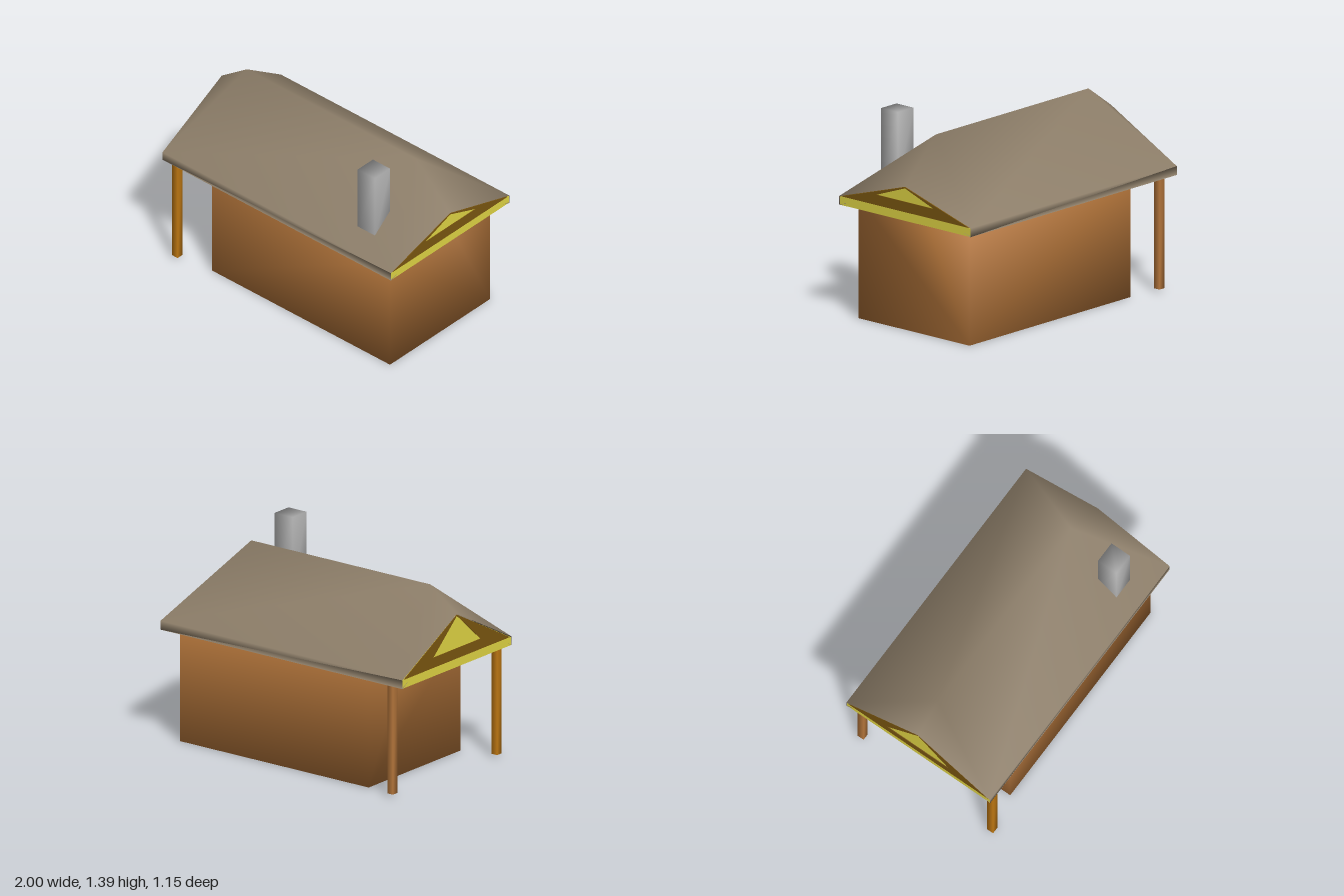
import * as THREE from 'three';
import { mergeVertices } from 'three/addons/utils/BufferGeometryUtils.js';

function mat(name, color, double = false) {
  const m = new THREE.MeshStandardMaterial({ color });
  m.name = name;
  if (double) m.side = THREE.DoubleSide;
  return m;
}

// Weld the corners so the shading runs softly across them
function smooth(geo) {
  geo.deleteAttribute('uv');
  geo.deleteAttribute('normal');
  const g = mergeVertices(geo, 1e-4);
  g.computeVertexNormals();
  return g;
}

// Box from its minimum and maximum corners
function box(x0, x1, y0, y1, z0, z1) {
  return new THREE.BoxGeometry(x1 - x0, y1 - y0, z1 - z0)
    .translate((x0 + x1) / 2, (y0 + y1) / 2, (z0 + z1) / 2);
}

// Outline in (z, y) extruded along x from x0 to x1
function extrudeX(points, x0, x1, hole) {
  const toV = (p) => new THREE.Vector2(p[0], p[1]);
  const shape = new THREE.Shape(points.map(toV));
  if (hole) shape.holes.push(new THREE.Path(hole.map(toV)));
  return new THREE.ExtrudeGeometry(shape, { depth: x1 - x0, bevelEnabled: false })
    .rotateY(-Math.PI / 2).translate(x1, 0, 0);
}

// Roof shell: two slopes, clipped ridge ends, eave fascias and underside
function roofGeometry() {
  const pos = [];
  const T = 0.06;
  for (const s of [1, -1]) {
    const face = (pts, flip = false) => {
      const list = flip !== (s < 0) ? [...pts].reverse() : pts;
      for (let i = 1; i < list.length - 1; i++) {
        for (const p of [list[0], list[i], list[i + 1]]) pos.push(p[0], p[1], p[2] * s);
      }
    };
    const cl = [-1, 0.83, 0.577], cr = [1, 0.83, 0.577];
    const rl = [-0.78, 1.293, 0], rr = [0.70, 1.293, 0];
    const pl = [-1, 1.135, 0], pr = [1, 1.003, 0];
    const low = (p, k = 0.965) => [p[0] * k, p[1] - T, p[2]];
    face([cl, cr, rr, rl]);
    face([cr, pr, rr]);
    face([cl, rl, pl]);
    face([low(cl, 1), low(cr, 1), cr, cl]);
    face([low(cl, 1), low(cr, 1), low(rr), low(rl)], true);
    face([low(cr, 1), low(pr), low(rr)], true);
    face([low(cl, 1), low(rl), low(pl)], true);
  }
  const g = new THREE.BufferGeometry();
  g.setAttribute('position', new THREE.Float32BufferAttribute(pos, 3));
  return smooth(g);
}

export function createModel() {
  const brown = mat('brown wood', 0xb5763b);
  const amber = mat('amber wood', 0xbf7812);
  const ochre = mat('dark ochre', 0x7a5610);
  const yellow = mat('yellow trim', 0xe0d444);
  const taupe = mat('taupe roofing', 0x8c7d68, true);
  const grey = mat('grey stone', 0xb8b8b8);

  const group = new THREE.Group();
  const add = (name, geo, material) => {
    const m = new THREE.Mesh(geo, material);
    m.name = name;
    group.add(m);
  };

  // House body with a low gable hidden under the roof
  const body = [[-0.487, 0], [0.487, 0], [0.487, 0.82], [0, 1.0], [-0.487, 0.82]];
  add('walls', smooth(extrudeX(body, -0.65, 0.91)), brown);

  add('roof', roofGeometry(), taupe);

  // Gable boards closing both roof ends, each with a dark frame
  for (const [side, peak] of [['left', 1.003], ['right', 1.135]]) {
    const s = side === 'left' ? 1 : -1;
    const span = (a, b) => (s > 0 ? [a, b] : [-b, -a]);
    const top = peak - 0.005;
    add(side + 'GableBoard', extrudeX(
      [[-0.575, 0.77], [0.575, 0.77], [0.575, 0.825], [0, top], [-0.575, 0.825]],
      ...span(0.974, 0.996)), yellow);
    add(side + 'GableFrame', extrudeX(
      [[-0.56, 0.83], [0.56, 0.83], [0, top]],
      ...span(0.97, 1.0),
      [[-0.25, 0.9], [0, peak - 0.012], [0.25, 0.9]]), ochre);
  }

  // Soffit under the closed end of the roof
  add('soffit', box(0.77, 0.974, 0.772, 0.78, -0.57, 0.57), ochre);

  // Porch posts
  add('frontPost', smooth(box(-0.935, -0.888, 0.02, 0.83, 0.508, 0.555)), amber);
  add('backPost', smooth(box(-0.903, -0.857, 0.02, 0.83, -0.555, -0.508)), brown);

  add('chimney', smooth(box(0.59, 0.74, 0.9, 1.395, 0.297, 0.445)), grey);

  return group;
}
